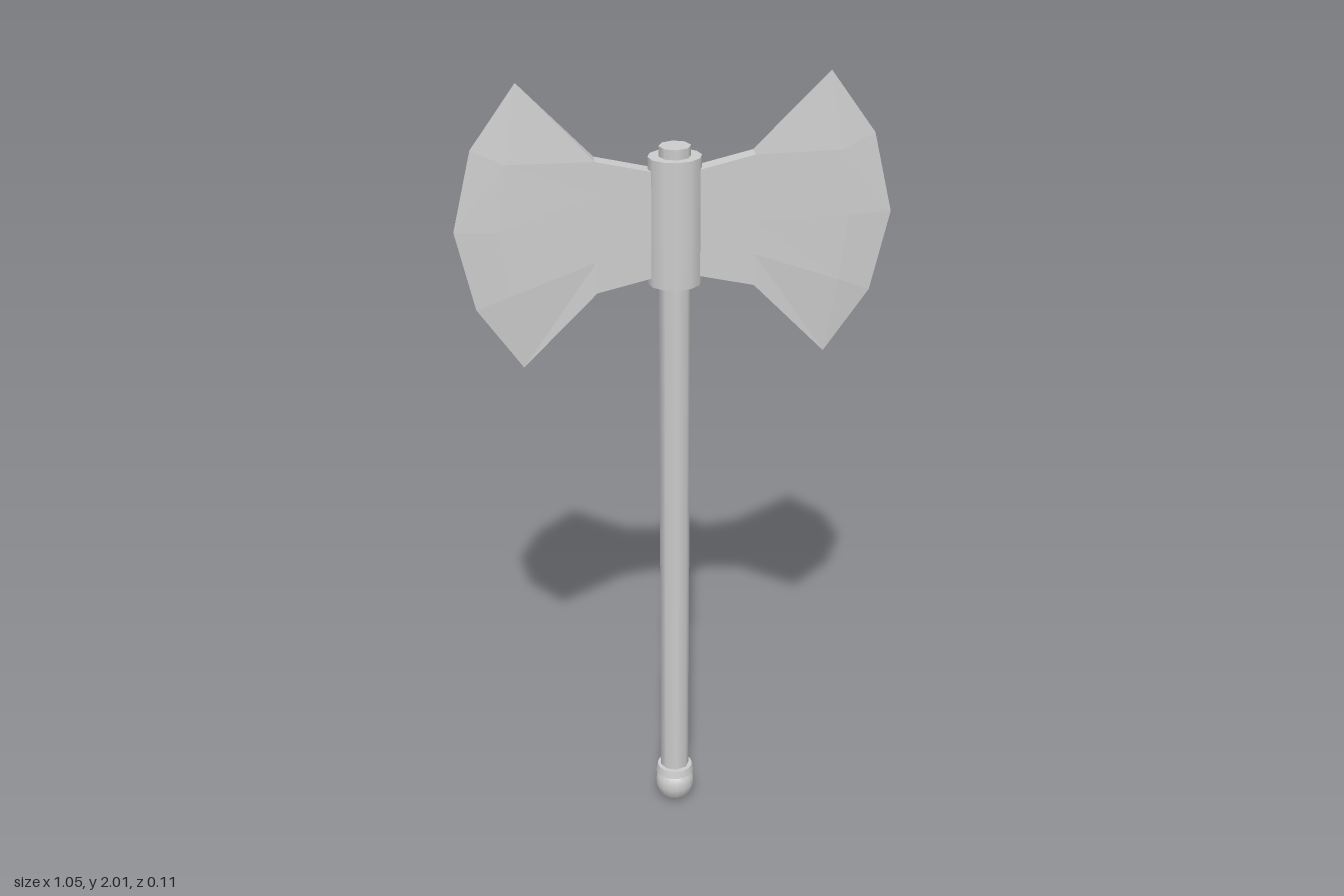
import * as THREE from 'three';

const material = new THREE.MeshStandardMaterial({ color: 0xcccccc });
const flatMaterial = new THREE.MeshStandardMaterial({ color: 0xcccccc, flatShading: true });

function addMesh(group, name, geometry, mat = material) {
  const mesh = new THREE.Mesh(geometry, mat);
  mesh.name = name;
  group.add(mesh);
  return mesh;
}

// One axe blade: columns run from the socket out to the cutting edge.
// Each column holds [x, y offset from the blade's middle, half thickness].
function bladeGeometry(side) {
  const midY = 1.655;
  const half = [
    [[0.04, 0.13, 0.02], [0.19, 0.165, 0.02], [0.37, 0.357, 0], [0.37, 0.357, 0]],
    [[0.04, 0.07, 0.02], [0.19, 0.085, 0.02], [0.4, 0.165, 0.013], [0.48, 0.2, 0]],
    [[0.04, 0, 0.02], [0.19, 0, 0.02], [0.42, 0, 0.014], [0.526, 0, 0]],
  ];
  const lower = [half[1], half[0]].map(row => row.map(([x, y, z]) => [x, -y, z]));
  const rows = [...half, ...lower];
  const positions = [];
  const point = ([x, y, z], face) => [x * side, midY + y, z * face];
  const quad = (a, b, c, d, flip) => {
    const order = flip ? [a, c, b, a, d, c] : [a, b, c, a, c, d];
    order.forEach(p => positions.push(...p));
  };
  // Front and back faces with the bevelled edge
  for (const face of [1, -1]) {
    for (let r = 0; r < rows.length - 1; r++) {
      for (let c = 0; c < 3; c++) {
        quad(point(rows[r][c], face), point(rows[r + 1][c], face),
          point(rows[r + 1][c + 1], face), point(rows[r][c + 1], face), face * side < 0);
      }
    }
  }
  // Upper and lower rims tapering to the tips
  for (const [row, up] of [[rows[0], 1], [rows[4], -1]]) {
    for (let c = 0; c < 2; c++) {
      quad(point(row[c], 1), point(row[c + 1], 1),
        point(row[c + 1], -1), point(row[c], -1), up * side < 0);
    }
  }
  const geometry = new THREE.BufferGeometry();
  geometry.setAttribute('position', new THREE.Float32BufferAttribute(positions, 3));
  geometry.computeVertexNormals();
  return geometry;
}

export function createModel() {
  const group = new THREE.Group();
  group.name = 'doubleAxe';

  // Octagonal shaft, its end showing above the socket
  const shaft = new THREE.CylinderGeometry(0.039, 0.037, 1.765, 8);
  shaft.scale(1, 1, 0.93);
  shaft.translate(0, 0.9625, 0);
  addMesh(group, 'shaft', shaft);

  // Oval socket holding the blades
  const socket = new THREE.CylinderGeometry(0.065, 0.065, 0.32, 12);
  socket.scale(1, 1, 0.85);
  socket.translate(0, 1.66, 0);
  addMesh(group, 'socket', socket);

  // Mirrored blades
  addMesh(group, 'leftBlade', bladeGeometry(1), flatMaterial);
  addMesh(group, 'rightBlade', bladeGeometry(-1), flatMaterial);

  // Rounded pommel with a collar ring
  const profile = [[0, 0], [0.027, 0.005], [0.043, 0.02], [0.051, 0.045],
    [0.049, 0.068], [0.04, 0.083], [0.034, 0.088]];
  addMesh(group, 'pommel',
    new THREE.LatheGeometry(profile.map(([x, y]) => new THREE.Vector2(x, y)), 16));
  const collar = new THREE.CylinderGeometry(0.046, 0.05, 0.02, 16);
  collar.translate(0, 0.095, 0);
  addMesh(group, 'pommelCollar', collar);

  return group;
}
